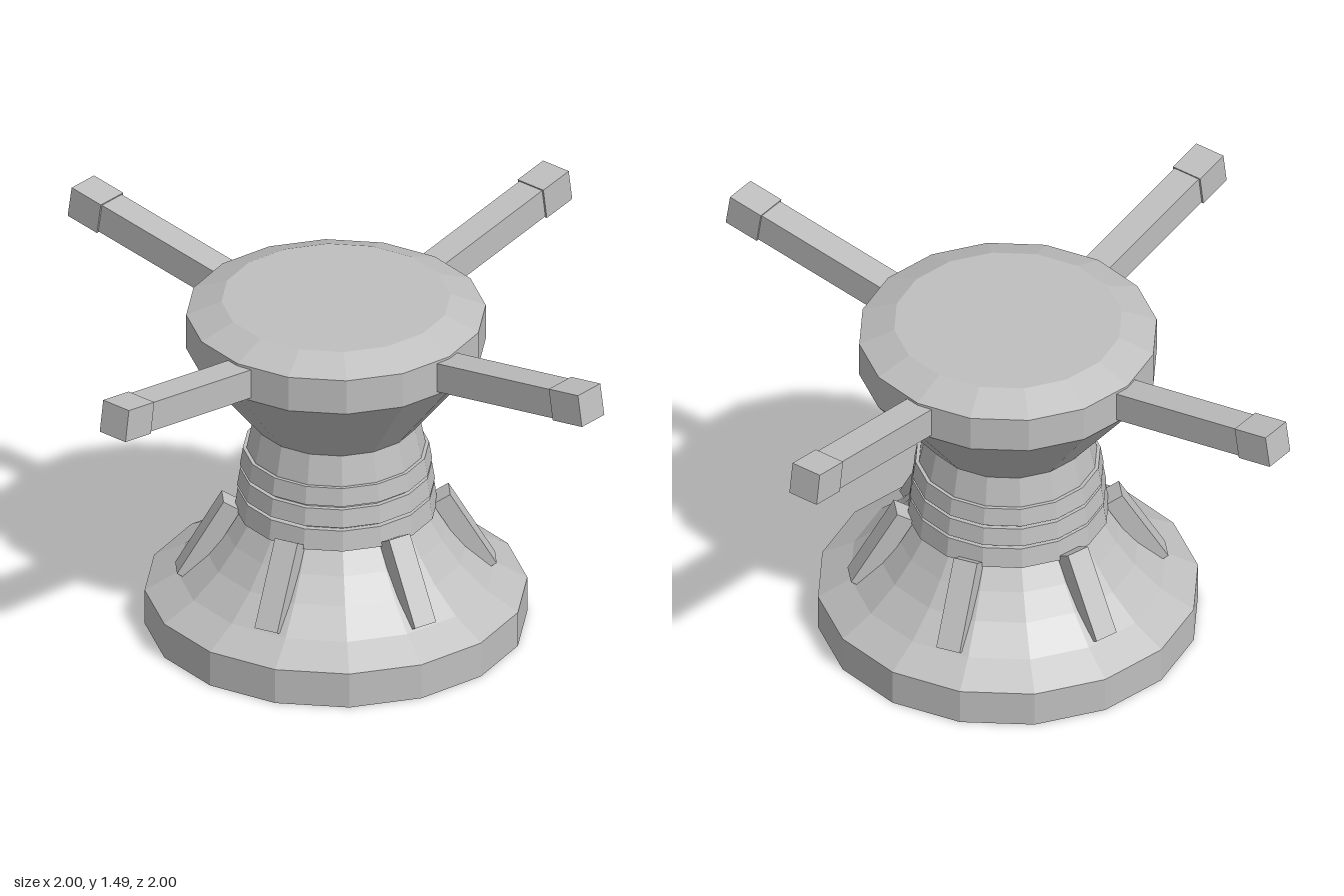
import * as THREE from 'three';

const metal = new THREE.MeshStandardMaterial({ color: 0xbfbfbf });

function mesh(name, geometry) {
  const m = new THREE.Mesh(geometry, metal);
  m.name = name;
  return m;
}

// Faceted sixteen-sided turned part from [radius, height] points, bottom to top
function turned(name, points) {
  const g = new THREE.LatheGeometry(points.map(([r, y]) => new THREE.Vector2(r, y)), 16).toNonIndexed();
  g.computeVertexNormals();
  return mesh(name, g);
}

// Box whose length runs along +x, from x0 to x1
function bar(name, x0, x1, height, width) {
  const g = new THREE.BoxGeometry(x1 - x0, height, width);
  g.translate((x0 + x1) / 2, 0, 0);
  return mesh(name, g);
}

export function createModel() {
  const model = new THREE.Group();
  model.name = 'capstan';

  // Flared foot
  model.add(turned('base', [
    [0, 0], [0.76, 0], [0.76, 0.15], [0.63, 0.225], [0.52, 0.325], [0.445, 0.42], [0.385, 0.51], [0, 0.51],
  ]));

  // Waist and widening drum head
  model.add(turned('neck', [[0.375, 0.5], [0.355, 0.78], [0.33, 0.9]]));
  model.add(turned('head', [
    [0.33, 0.9], [0.595, 1.23], [0.595, 1.38], [0.455, 1.435], [0, 1.435],
  ]));

  // Three stacked bands around the waist
  [[0.51, 0.595, 0.403], [0.61, 0.685, 0.393], [0.7, 0.775, 0.382]].forEach(([y0, y1, r]) => {
    model.add(turned('band', [[0.34, y0], [r, y0], [r - 0.012, y1], [0.34, y1]]));
  });

  // Six sloping ribs on the foot
  const dir = new THREE.Vector2(0.185, -0.315);
  const thickness = 0.08;
  for (let i = 0; i < 6; i++) {
    const pivot = new THREE.Group();
    pivot.name = 'ribMount';
    pivot.rotation.y = (i * Math.PI) / 3;
    const rib = bar('rib', 0, dir.length(), thickness, 0.1);
    rib.geometry.translate(0, -thickness / 2, 0);
    rib.position.set(0.45, 0.56, 0);
    rib.rotation.z = dir.angle();
    pivot.add(rib);
    model.add(pivot);
  }

  // Four raised push bars with thicker ends
  for (let i = 0; i < 4; i++) {
    const arm = new THREE.Group();
    arm.name = 'pushBar';
    arm.rotation.order = 'YXZ';
    arm.rotation.set(0, Math.PI / 4 + (i * Math.PI) / 2, 0.155);
    arm.position.y = 1.214;
    arm.add(bar('shaft', 0.42, 1.22, 0.125, 0.12));
    arm.add(bar('grip', 1.2, 1.355, 0.135, 0.135));
    model.add(arm);
  }

  return model;
}
